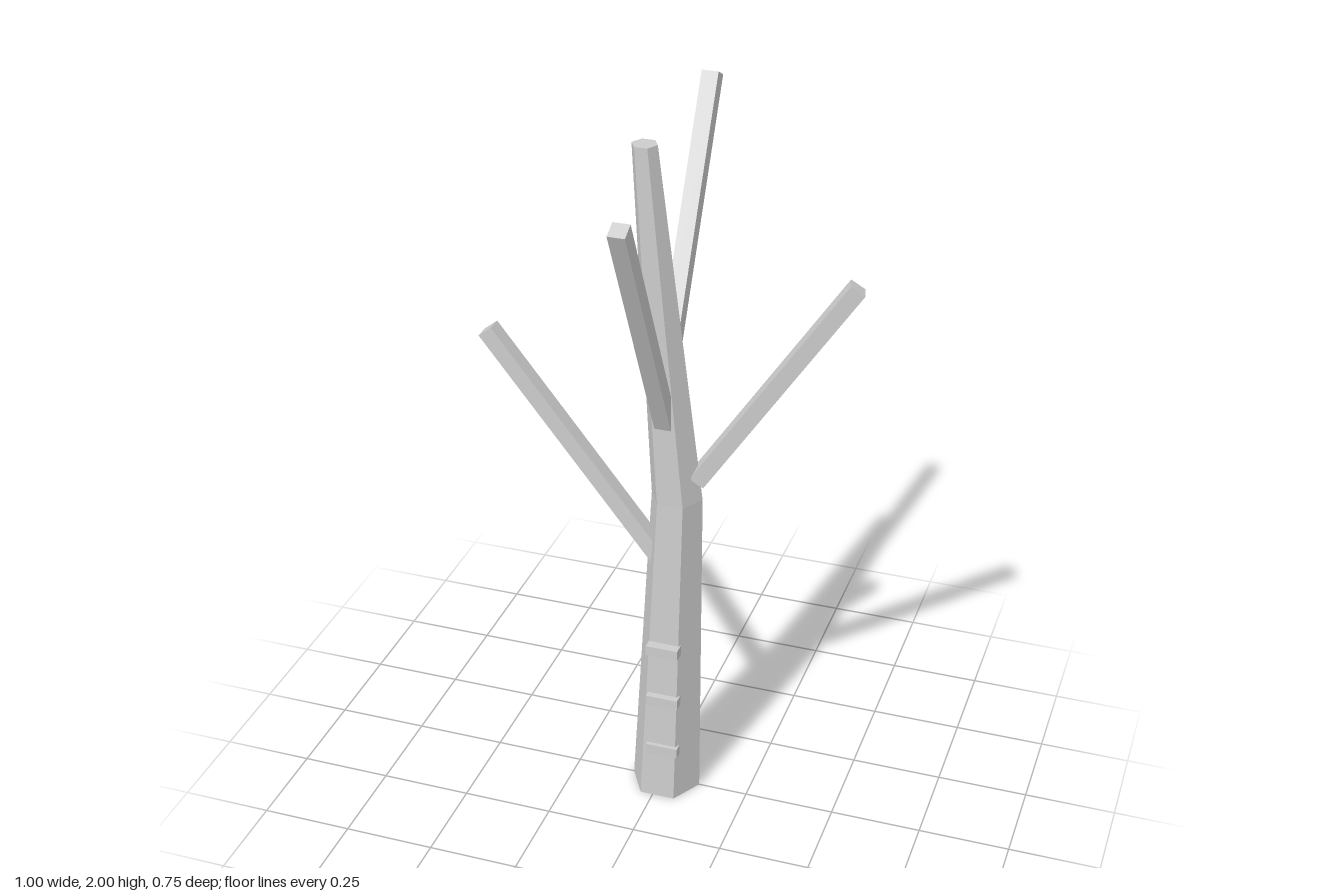
import * as THREE from 'three';

export function createModel() {
  const group = new THREE.Group();
  const bark = new THREE.MeshStandardMaterial({ color: 0xcccccc, flatShading: true });
  bark.name = 'pale grey bark';

  const add = (name, geometry) => {
    const mesh = new THREE.Mesh(geometry, bark);
    mesh.name = name;
    group.add(mesh);
    return mesh;
  };

  // Trunk: a bent, tapering six-sided column with rings from bottom to top
  const rings = [
    { x: 0.013, y: 0, z: 0, r: 0.098 },
    { x: 0.035, y: 0.93, z: -0.02, r: 0.071 },
    { x: -0.045, y: 1.92, z: 0, r: 0.034 },
  ];
  const trunk = new THREE.CylinderGeometry(1, 1, 2, 6, 2, false, Math.PI / 2);
  const p = trunk.attributes.position;
  for (let i = 0; i < p.count; i++) {
    const ring = rings[Math.round(p.getY(i) + 1)];
    p.setXYZ(i, ring.x + p.getX(i) * ring.r, ring.y, ring.z + p.getZ(i) * ring.r);
  }
  trunk.computeVertexNormals();
  add('trunk', trunk);

  // Branches: square bars running from the trunk to their tips
  const up = new THREE.Vector3(0, 1, 0);
  const addBranch = (name, from, to) => {
    const a = new THREE.Vector3(...from);
    const b = new THREE.Vector3(...to);
    const along = b.clone().sub(a);
    const mesh = add(name, new THREE.BoxGeometry(0.045, along.length(), 0.045));
    along.normalize();
    const side = new THREE.Vector3().crossVectors(along, up).normalize();
    const depth = new THREE.Vector3().crossVectors(side, along);
    mesh.quaternion.setFromRotationMatrix(new THREE.Matrix4().makeBasis(side, along, depth));
    mesh.position.copy(a).add(b).multiplyScalar(0.5);
  };
  addBranch('rightBranch', [0, 0.74, 0], [-0.481, 1.352, 0]);
  addBranch('leftBranch', [0.09, 0.99, -0.018], [0.477, 1.562, -0.111]);
  addBranch('frontBranch', [0.014, 1.15, 0.011], [0.014, 1.847, 0.355]);
  addBranch('backBranch', [0.014, 1.37, -0.03], [0.014, 1.987, -0.357]);

  // Climbing rungs on the front of the trunk
  for (const y of [0.16, 0.325, 0.49]) {
    add('rung', new THREE.BoxGeometry(0.09, 0.03, 0.05)).position.set(0.027, y, 0.063);
  }
  return group;
}
